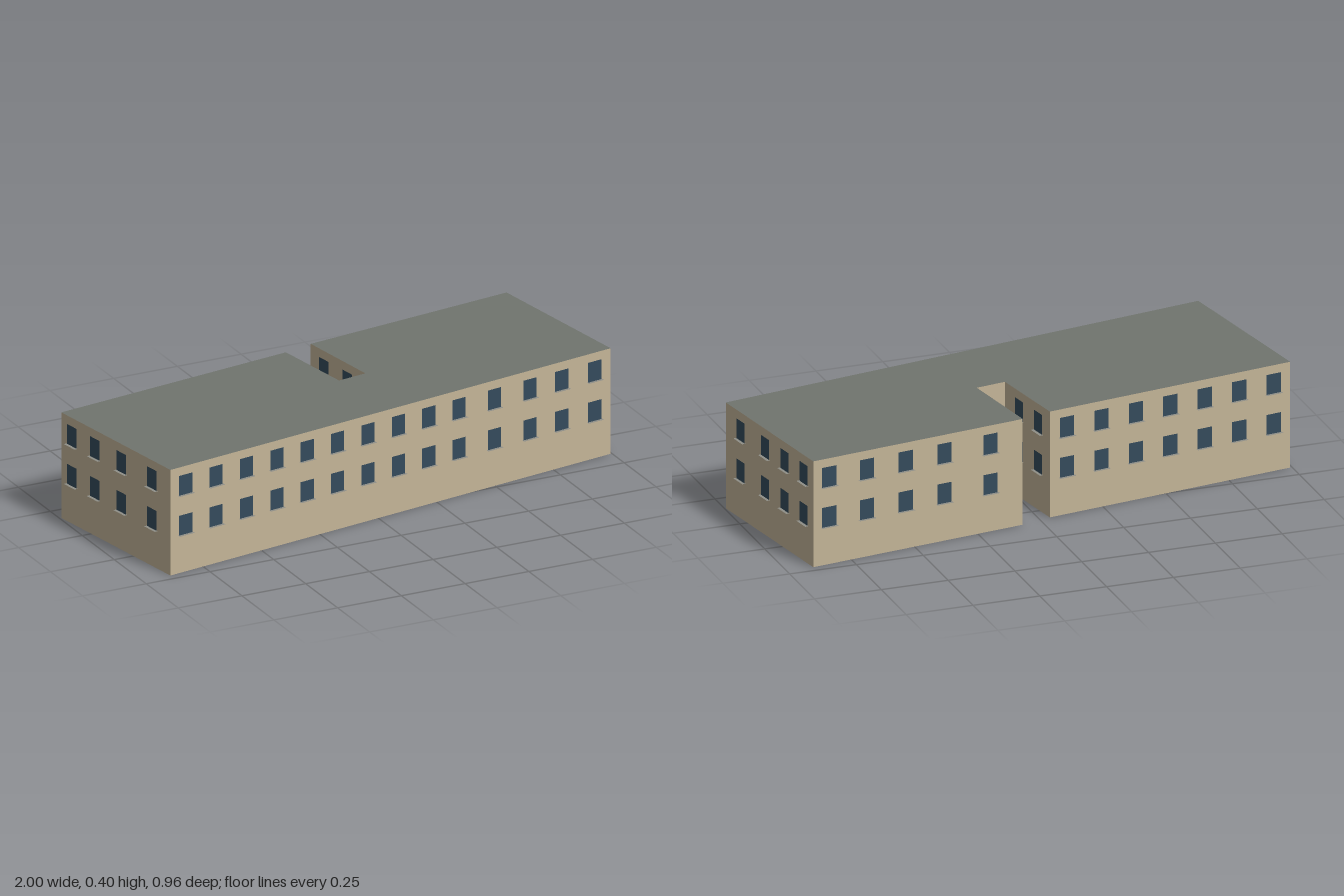
import * as THREE from 'three';

const HEIGHT = 0.4;
const WINDOW_W = 0.057, WINDOW_H = 0.075, SILL_DEPTH = 0.013;
const FLOORS = [0.143, 0.294]; // window bottoms

const spaced = (n, from, to) => Array.from({ length: n }, (_, i) => from + (to - from) * i / (n - 1));

// Footprint corners [x, z], each with the window positions (0..1) on the wall that starts there
const WALLS = [
  { name: 'frontWall', at: [-0.89, 0.47], windows: [...spaced(10, 0.034, 0.655), 0.735, 0.816, 0.888, 0.963] },
  { name: 'rightWall', at: [0.995, 0.155], windows: [0.174, 0.456, 0.677, 0.894] },
  { name: 'backRightWall', at: [0.9, -0.47], windows: [0.075, 0.255, 0.44, 0.625, 0.845] },
  { name: 'notchRightWall', at: [0.073, -0.353], windows: [0.25, 0.68] },
  { name: 'notchEndWall', at: [0.122, -0.023], windows: [] },
  { name: 'notchLeftWall', at: [0.01, -0.005], windows: [0.32, 0.75] },
  { name: 'backLeftWall', at: [-0.04, -0.322], windows: spaced(7, 0.07, 0.93) },
  { name: 'leftWall', at: [-0.993, -0.178], windows: [0.1, 0.31, 0.555, 0.835] },
];

export function createModel() {
  const building = new THREE.Group();
  building.name = 'building';
  const wallMat = new THREE.MeshStandardMaterial({ color: 0xc4b598 });
  const roofMat = new THREE.MeshStandardMaterial({ color: 0x70746e });
  const glassMat = new THREE.MeshStandardMaterial({ color: 0x344b5c });
  const sillMat = new THREE.MeshStandardMaterial({ color: 0x8f8f88, side: THREE.DoubleSide });

  // Solid block: grey flat roof and base, tan walls
  const outline = new THREE.Shape(WALLS.map(({ at: [x, z] }) => new THREE.Vector2(x, -z)));
  const blockGeo = new THREE.ExtrudeGeometry(outline, { depth: HEIGHT, bevelEnabled: false });
  blockGeo.rotateX(-Math.PI / 2);
  const block = new THREE.Mesh(blockGeo, [roofMat, wallMat]);
  block.name = 'wallsAndRoof';
  building.add(block);

  // Window pane just proud of the wall, and a thin flat sill at its foot
  const paneGeo = new THREE.PlaneGeometry(WINDOW_W, WINDOW_H).translate(0, WINDOW_H / 2, 0.002);
  const sillGeo = new THREE.PlaneGeometry(WINDOW_W + 0.008, SILL_DEPTH)
    .rotateX(-Math.PI / 2).translate(0, 0, SILL_DEPTH / 2);

  WALLS.forEach((wall, i) => {
    const [x0, z0] = wall.at;
    const [x1, z1] = WALLS[(i + 1) % WALLS.length].at;
    const length = Math.hypot(x1 - x0, z1 - z0);
    if (!wall.windows.length) return;

    // Local x runs along the wall, local z points outward
    const row = new THREE.Group();
    row.name = wall.name + 'Windows';
    row.position.set(x0, 0, z0);
    row.rotation.y = Math.atan2(z0 - z1, x1 - x0);
    for (const y of FLOORS) {
      for (const t of wall.windows) {
        const pane = new THREE.Mesh(paneGeo, glassMat);
        pane.name = 'windowPane';
        const sill = new THREE.Mesh(sillGeo, sillMat);
        sill.name = 'windowSill';
        for (const part of [pane, sill]) {
          part.position.set(t * length, y, 0);
          row.add(part);
        }
      }
    }
    building.add(row);
  });
  return building;
}
